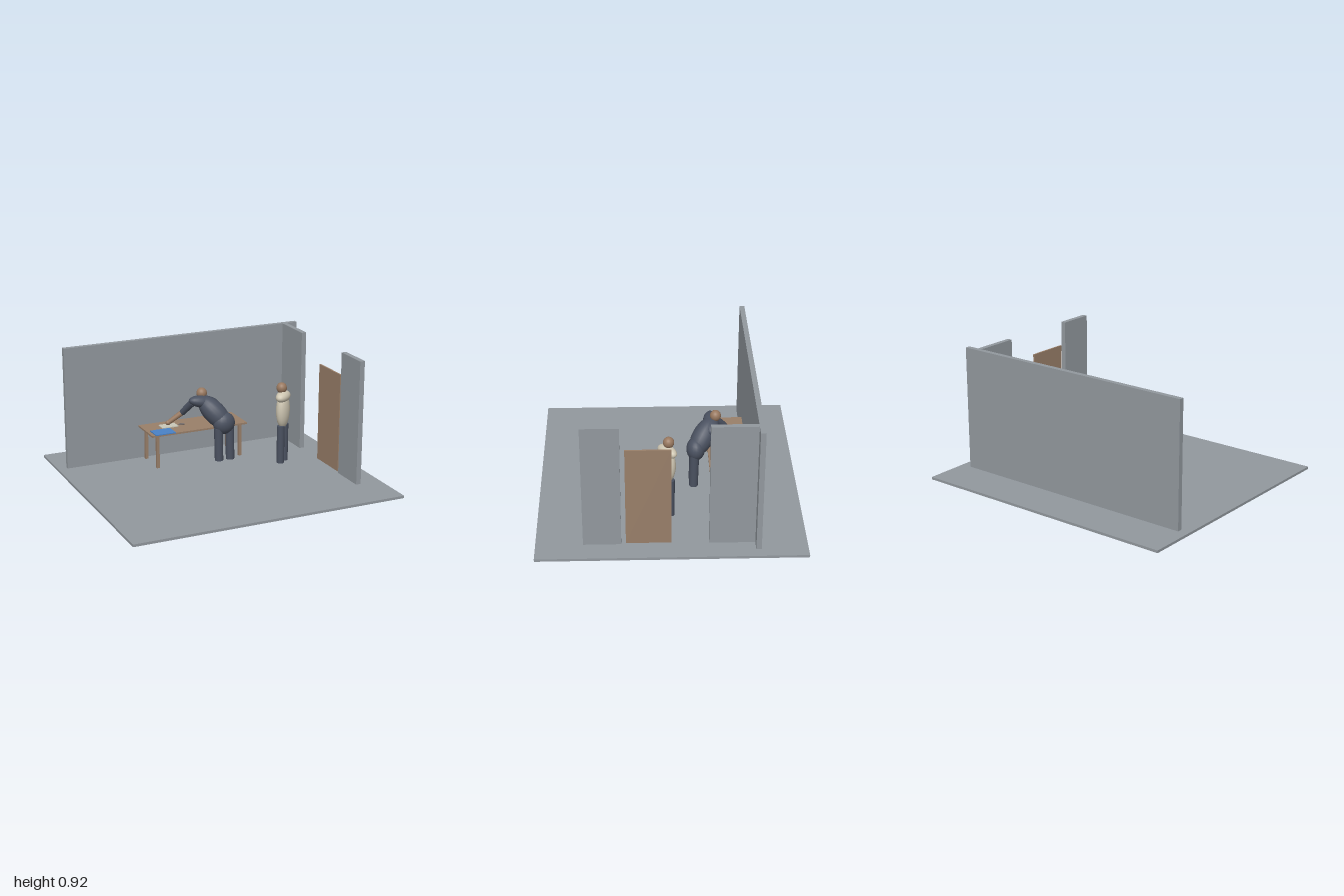
import * as THREE from 'three';

const paint = (name, color) => {
  const m = new THREE.MeshStandardMaterial({ color });
  m.name = name;
  return m;
};

export function createModel() {
  const concrete = paint('grey concrete', 0x92989e);
  const wood = paint('brown wood', 0x997f69);
  const skin = paint('skin', 0x98785f);
  const navy = paint('dark cloth', 0x4a5160);
  const cream = paint('cream cloth', 0xcfc7b3);
  const blue = paint('blue card', 0x4a82c6);
  const paper = paint('paper', 0xc9c7b8);
  const model = new THREE.Group();
  model.name = 'room';

  const group = (name) => {
    const g = new THREE.Group();
    g.name = name;
    model.add(g);
    return g;
  };
  const add = (parent, name, geometry, material) => {
    const m = new THREE.Mesh(geometry, material);
    m.name = name;
    parent.add(m);
    return m;
  };
  // Box given by its limits on each axis
  const box = (parent, name, mat, [x0, x1], [y0, y1], [z0, z1]) =>
    add(parent, name, new THREE.BoxGeometry(x1 - x0, y1 - y0, z1 - z0), mat)
      .position.set((x0 + x1) / 2, (y0 + y1) / 2, (z0 + z1) / 2);
  const up = new THREE.Vector3(0, 1, 0);
  // Ellipsoid whose y axis is turned to a direction
  const ellipsoid = (parent, name, mat, center, radii, dir = [0, 1, 0]) => {
    const m = add(parent, name, new THREE.SphereGeometry(1, 20, 14), mat);
    m.position.set(...center);
    m.scale.set(...radii);
    m.quaternion.setFromUnitVectors(up, new THREE.Vector3(...dir).normalize());
    return m;
  };
  // Tapered limb from a to b
  const limb = (parent, name, mat, a, b, ra, rb) => {
    const from = new THREE.Vector3(...a), to = new THREE.Vector3(...b);
    const d = to.clone().sub(from);
    const m = add(parent, name, new THREE.CylinderGeometry(rb, ra, d.length(), 16), mat);
    m.position.copy(from).add(to).multiplyScalar(0.5);
    m.quaternion.setFromUnitVectors(up, d.normalize());
  };

  // Room shell and open doorway
  const H = [0.018, 0.917];
  box(model, 'floor', concrete, [-1, 1], [0, 0.018], [-0.913, 0.913]);
  box(model, 'backWall', concrete, [-0.93, 0.925], H, [-0.598, -0.562]);
  box(model, 'sideWallBack', concrete, [0.806, 0.842], H, [-0.562, -0.252]);
  box(model, 'sideWallFront', concrete, [0.806, 0.842], H, [0.337, 0.593]);
  box(model, 'door', wood, [0.818, 0.831], [0.018, 0.743], [0.002, 0.306]);

  // Table
  const table = group('table');
  box(table, 'tableTop', wood, [-0.38, 0.375], [0.262, 0.275], [-0.553, -0.279]);
  for (const x of [-0.33, 0.327])
    for (const z of [-0.525, -0.305])
      box(table, 'tableLeg', wood, [x - 0.011, x + 0.011], [0.018, 0.262], [z - 0.011, z + 0.011]);

  // Things on the table
  box(table, 'folder', blue, [-0.355, -0.2], [0.275, 0.282], [-0.383, -0.27]);
  box(table, 'sheet', paper, [-0.25, -0.125], [0.275, 0.281], [-0.481, -0.4]);
  limb(table, 'pen', navy, [-0.11, 0.279, -0.44], [-0.065, 0.279, -0.428], 0.003, 0.003);

  // Person bending over the table
  const bent = group('bendingPerson');
  for (const x of [0.099, 0.188])
    limb(bent, 'leg', navy, [x, 0.055, -0.175], [x - 0.002, 0.3, -0.18], 0.031, 0.033);
  ellipsoid(bent, 'hips', navy, [0.145, 0.33, -0.19], [0.083, 0.083, 0.066]);
  ellipsoid(bent, 'torso', navy, [0.095, 0.4, -0.245], [0.08, 0.15, 0.08], [-0.11, 0.14, -0.1]);
  ellipsoid(bent, 'shoulders', navy, [0.034, 0.475, -0.3], [0.046, 0.118, 0.056], [1, -0.2, 0]);
  ellipsoid(bent, 'head', skin, [0.032, 0.532, -0.332], [0.039, 0.041, 0.039]);
  const arms = [
    { shoulder: [-0.05, 0.475, -0.315], elbow: [-0.092, 0.38, -0.402], hand: [-0.19, 0.303, -0.438] },
    { shoulder: [0.125, 0.45, -0.31], elbow: [0.075, 0.365, -0.385], hand: [0.16, 0.292, -0.32] },
  ];
  for (const { shoulder, elbow, hand } of arms) {
    limb(bent, 'upperArm', navy, shoulder, elbow, 0.028, 0.023);
    ellipsoid(bent, 'elbow', navy, elbow, [0.022, 0.022, 0.022]);
    limb(bent, 'forearm', skin, elbow, hand, 0.021, 0.016);
    ellipsoid(bent, 'hand', skin, hand, [0.02, 0.018, 0.018]);
  }

  // Person standing near the door, turned toward the table
  const standing = group('standingPerson');
  standing.position.set(0.516, 0, 0.02);
  standing.rotation.y = 0.7;
  for (const s of [-1, 1])
    limb(standing, 'leg', navy, [s * 0.035, 0.05, 0], [s * 0.035, 0.33, 0], 0.027, 0.028);
  ellipsoid(standing, 'torso', cream, [0, 0.44, 0], [0.071, 0.135, 0.046]);
  ellipsoid(standing, 'shoulders', cream, [0, 0.543, 0], [0.085, 0.041, 0.046]);
  limb(standing, 'neck', skin, [0, 0.56, -0.006], [0, 0.6, -0.01], 0.018, 0.018);
  ellipsoid(standing, 'head', skin, [0, 0.606, -0.012], [0.038, 0.04, 0.038]);

  return model;
}
